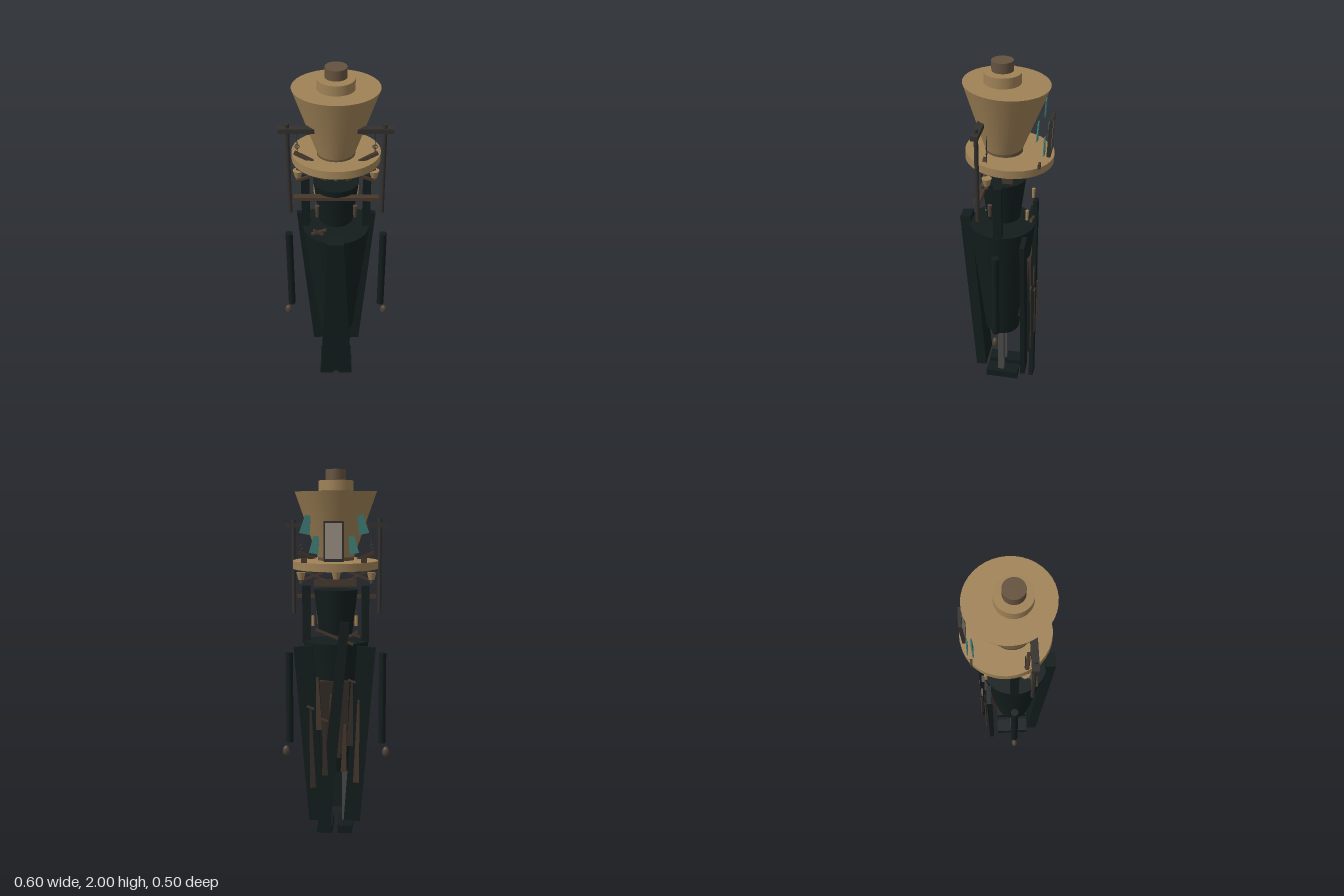
import * as THREE from 'three';

const mat = (color) => new THREE.MeshStandardMaterial({ color, side: THREE.DoubleSide });
const straw = mat(0x9f8257), crown = mat(0x65523f), dark = mat(0x131c1c), iron = mat(0x33302d),
  wood = mat(0x46372c), rag = mat(0x352d28), grey = mat(0x4a4a4a), teal = mat(0x3d7a73),
  paper = mat(0x9a9082), hand = mat(0x4e4237);

export function createModel() {
  const model = new THREE.Group();

  const add = (name, geo, m, x, y, z, rx = 0, ry = 0, rz = 0) => {
    const mesh = new THREE.Mesh(geo, m);
    mesh.name = name;
    mesh.position.set(x, y, z);
    mesh.rotation.set(rx, ry, rz);
    model.add(mesh);
    return mesh;
  };
  const box = (name, m, w, h, d, x, y, z, rx, ry, rz) =>
    add(name, new THREE.BoxGeometry(w, h, d), m, x, y, z, rx, ry, rz);
  const cone = (name, m, rTop, rBottom, h, x, y, z, rx, ry, rz) =>
    add(name, new THREE.CylinderGeometry(rTop, rBottom, h, 40), m, x, y, z, rx, ry, rz);
  // Slab running from a to b (centre line), with separate widths at each end
  const slab = (name, m, a, b, wA, wB, depth) => {
    const A = new THREE.Vector3(...a), B = new THREE.Vector3(...b);
    const geo = new THREE.BoxGeometry(1, A.distanceTo(B), depth);
    const p = geo.attributes.position;
    for (let i = 0; i < p.count; i++) p.setX(i, p.getX(i) * (p.getY(i) > 0 ? wA : wB));
    geo.computeVertexNormals();
    const mesh = add(name, geo, m, 0, 0, 0);
    mesh.position.copy(A).add(B).multiplyScalar(0.5);
    mesh.quaternion.setFromUnitVectors(new THREE.Vector3(0, 1, 0), A.sub(B).normalize());
    return mesh;
  };

  // Hat, leaning slightly back
  cone('hatKnob', crown, 0.055, 0.055, 0.052, 0, 1.974, 0.017);
  cone('hatStep', straw, 0.094, 0.094, 0.055, 0, 1.914, 0.016);
  cone('hatCrown', straw, 0.22, 0.097, 0.352, 0, 1.709, 0.004, -0.045);
  cone('hatBand', crown, 0.098, 0.098, 0.03, 0, 1.532, 0.01, -0.045);
  cone('hatBrim', straw, 0.23, 0.23, 0.042, 0, 1.499, -0.02, -0.05);
  box('hatSupport', wood, 0.23, 0.035, 0.055, 0, 1.398, -0.026);

  // Head and body
  cone('head', dark, 0.12, 0.09, 0.24, 0, 1.24, 0.013);
  cone('body', dark, 0.18, 0.098, 0.725, 0, 0.717, 0.02);

  // Front coat panel and the diagonal back tail
  slab('frontPanel', dark, [0, 1.11, 0.218], [0, 0.085, 0.135], 0.085, 0.18, 0.058);
  slab('backTail', dark, [-0.055, 1.2, -0.155], [0.06, 0.04, -0.168], 0.05, 0.07, 0.025);

  for (const s of [-1, 1]) {
    // Coat sides, shoulder straps, arms and legs
    slab('sidePanel', dark, [s * 0.17, 1.065, -0.122], [s * 0.095, 0.095, -0.124], 0.1, 0.09, 0.026);
    box('strap', dark, 0.042, 0.31, 0.045, s * 0.162, 1.225, 0.015);
    cone('arm', dark, 0.02, 0.02, 0.51, s * 0.259, 0.755, 0.012);
    const fist = add('hand', new THREE.SphereGeometry(1, 16, 12), hand, s * 0.281, 0.447, 0.012);
    fist.scale.set(0.02, 0.03, 0.016);
    box('leg', grey, 0.036, 0.34, 0.036, s * 0.053, 0.21, 0.02);
    box('foot', dark, 0.08, 0.045, 0.19, s * 0.055, 0.0225, 0.01);

    // Hanging frame beside the hat
    cone('framePost', iron, 0.011, 0.011, 0.52, s * 0.239, 1.48, 0.104);
    box('frameArm', iron, 0.18, 0.025, 0.036, s * 0.194, 1.708, 0.104);
    cone('hangingWire', iron, 0.002, 0.002, 0.15, s * 0.195, 1.61, 0.062);
    add('wireRing', new THREE.TorusGeometry(0.011, 0.002, 6, 16), iron, s * 0.195, 1.59, 0.062);

    // Twigs under and on the brim
    slab('underTwig', wood, [0, 1.48, 0.085], [s * 0.205, 1.4, 0.085], 0.014, 0.014, 0.014);
    slab('lowerTwig', wood, [s * 0.05, 1.4, 0.075], [s * 0.2, 1.47, 0.075], 0.012, 0.012, 0.012);
    slab('brimTwig', wood, [s * 0.21, 1.56, 0.07], [s * 0.1, 1.51, 0.09], 0.018, 0.018, 0.018);
    box('brimPeg', wood, 0.03, 0.025, 0.012, s * 0.155, 1.525, -0.195);

    // Feathers on the back of the hat
    slab('outerFeather', teal, [s * 0.135, 1.755, -0.185], [s * 0.155, 1.66, -0.18], 0.03, 0.055, 0.006);
    slab('innerFeather', teal, [s * 0.09, 1.65, -0.21], [s * 0.105, 1.56, -0.21], 0.03, 0.05, 0.006);

    // Shoulder charms
    cone('backCharm', straw, 0.009, 0.009, 0.055, s * 0.115, 1.205, -0.132);
    cone('sideCharm', hand, 0.012, 0.008, 0.07, s * 0.1, 1.2, 0.07);
  }
  box('frameCrossbar', wood, 0.44, 0.02, 0.034, 0, 1.315, 0.112);

  // Small bells below the brim
  for (const x of [-0.195, 0, 0.195]) {
    cone('bell', straw, 0.026, 0.015, 0.042, x, 1.43, 0.064);
    cone('bellTip', hand, 0.01, 0.01, 0.02, x, 1.4, 0.064);
  }

  // Paper tag in a dark border, on the back of the brim
  box('tag', paper, 0.1, 0.2, 0.012, 0, 1.622, -0.228, -0.05);
  box('tagBottomBorder', iron, 0.1, 0.014, 0.02, 0, 1.527, -0.226, -0.05);
  for (const s of [-1, 1]) box('tagSideBorder', iron, 0.008, 0.2, 0.018, s * 0.048, 1.622, -0.23, -0.05);
  box('tagTopBorder', iron, 0.1, 0.01, 0.018, 0, 1.72, -0.234, -0.05);

  // Twigs tied across the shoulders
  slab('shoulderTwig', wood, [0.1, 1.16, -0.15], [-0.1, 1.08, -0.15], 0.014, 0.014, 0.014);
  slab('frontTwig', wood, [-0.05, 1.115, 0.12], [-0.13, 1.085, 0.12], 0.012, 0.012, 0.012);
  slab('crossedTwig', wood, [-0.12, 1.115, 0.125], [-0.07, 1.085, 0.125], 0.012, 0.012, 0.012);

  // Torn cloth on the back
  slab('backPatch', rag, [0, 0.88, -0.136], [0, 0.47, -0.093], 0.16, 0.13, 0.022);
  for (let i = 0; i < 8; i++) {
    const x = -0.13 + i * 0.037, top = 0.78 + 0.13 * Math.sin(i * 2.3);
    const length = 0.36 + 0.1 * Math.cos(i * 1.7), z = -0.15 - 0.012 * (i % 3);
    slab('ragStrip', i % 2 ? rag : wood, [x, top, z], [x * 0.9, top - length, z - 0.005], 0.012, 0.032, 0.006);
    if (i % 2) slab('ragTie', wood, [x + 0.02, top + 0.015, z], [x - 0.02, top, z], 0.01, 0.01, 0.01);
  }
  return model;
}
